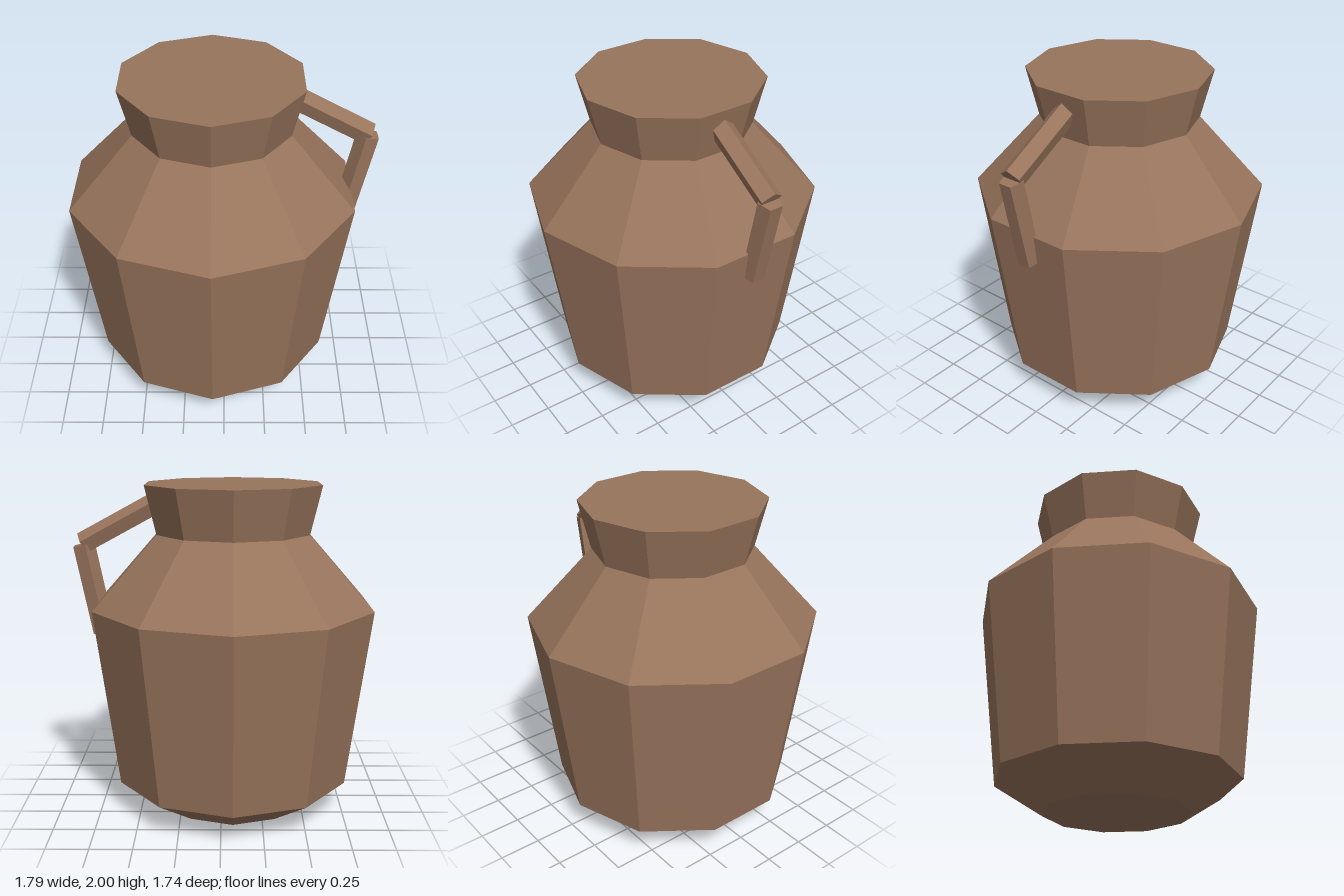
import * as THREE from 'three';

const CENTRE_X = -0.07;

export function createModel() {
  const model = new THREE.Group();
  model.name = 'handledJug';

  const clay = new THREE.MeshStandardMaterial({ color: 0x98745c });
  clay.name = 'brownClay';
  clay.flatShading = true;

  // Ten-sided body: closed base, tapered belly, shoulder, flared neck and flat lid
  const profile = [
    [0, 0], [0.434, 0], [0.726, 0.185], [0.87, 1.275],
    [0.473, 1.71], [0.543, 2], [0, 2],
  ].map(([r, y]) => new THREE.Vector2(r, y));
  const body = new THREE.Mesh(new THREE.LatheGeometry(profile, 10), clay);
  body.name = 'body';
  body.position.x = CENTRE_X;
  model.add(body);

  // Five-sided handle bar from a to b in the z = 0 plane; side turns its ridge out (+1) or in (-1)
  const addBar = (name, a, b, side) => {
    const dx = b[0] - a[0], dy = b[1] - a[1];
    const geometry = new THREE.CylinderGeometry(0.07, 0.07, Math.hypot(dx, dy), 5);
    geometry.rotateY(side * Math.PI / 2);
    geometry.rotateZ(Math.atan2(-dx, dy));
    geometry.translate((a[0] + b[0]) / 2, (a[1] + b[1]) / 2, 0);
    const bar = new THREE.Mesh(geometry, clay);
    bar.name = name;
    model.add(bar);
  };

  // Handle: an upper bar out of the neck and a lower bar down to the belly
  addBar('upperHandle', [0.836, 1.639], [0.353, 1.90], 1);
  addBar('lowerHandle', [0.729, 1.096], [0.834, 1.636], -1);

  return model;
}
